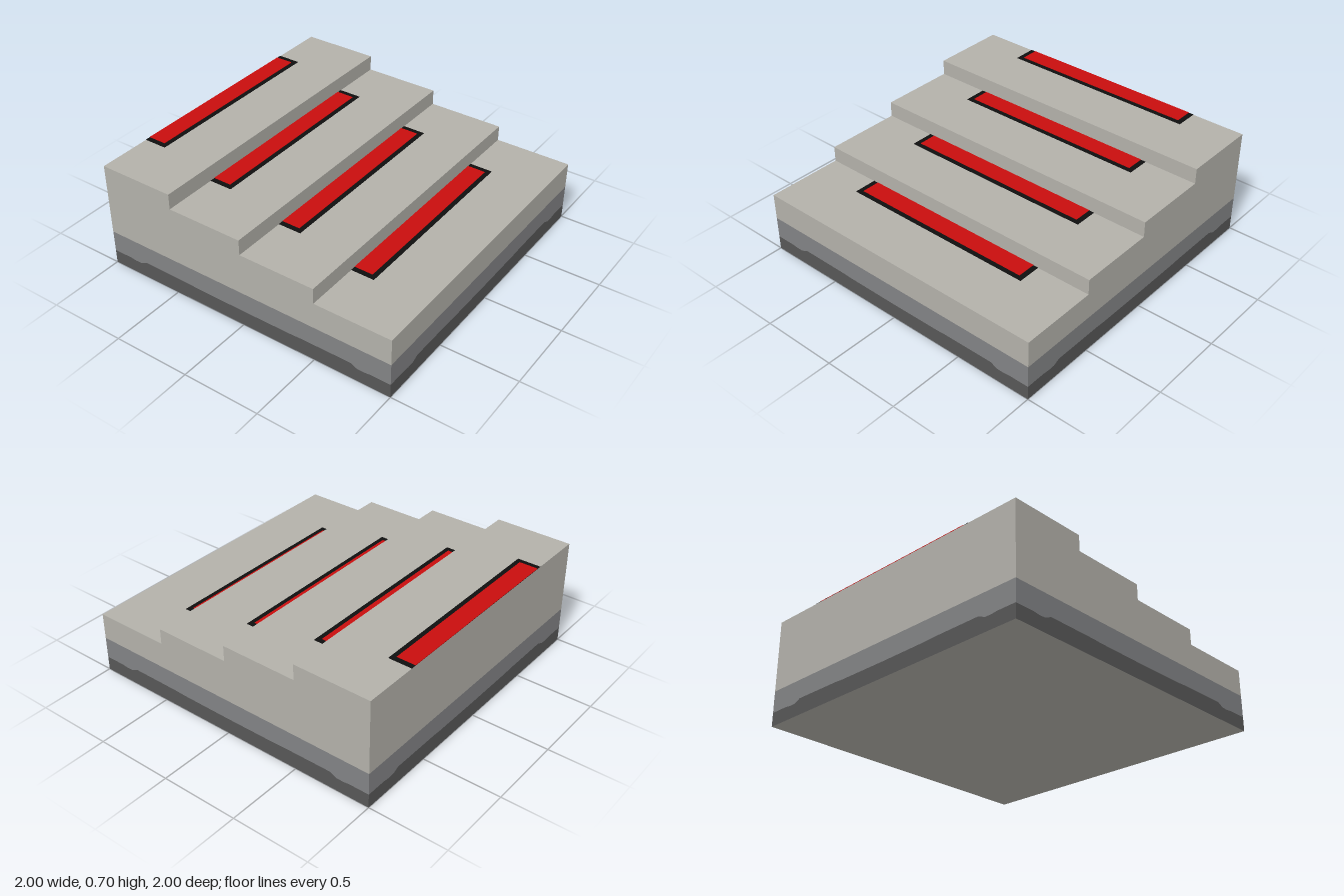
import * as THREE from 'three';

const mat = (name, color) => {
  const m = new THREE.MeshStandardMaterial({ color });
  m.name = name;
  return m;
};

export function createModel() {
  const stone = mat('stone', 0xb3b1aa);
  const midGrey = mat('mid grey', 0x828385);
  const darkGrey = mat('dark grey', 0x575757);
  const black = mat('black', 0x0f0f0f);
  const red = mat('red', 0xc80d0d);

  const model = new THREE.Group();
  model.name = 'steppedBlock';
  const add = (name, geometry, material, parent = model) => {
    const mesh = new THREE.Mesh(geometry, material);
    mesh.name = name;
    parent.add(mesh);
    return mesh;
  };

  const bandTop = 0.23, stepCount = 4, stepDepth = 0.5;
  const stepY = (i) => 0.4 + i * 0.1;

  // Stone staircase: side profile extruded across the width
  const profile = [[-1, bandTop], [1, bandTop]];
  for (let i = 0; i < stepCount; i++) {
    const front = 1 - i * stepDepth;
    profile.push([front, stepY(i)], [front - stepDepth, stepY(i)]);
  }
  const stairShape = new THREE.Shape(profile.map(([z, y]) => new THREE.Vector2(-z, y)));
  const stairs = new THREE.ExtrudeGeometry(stairShape, { depth: 2, bevelEnabled: false });
  stairs.translate(0, 0, -1).rotateY(Math.PI / 2);
  add('stairs', stairs, stone);

  // Underside
  add('underside', new THREE.PlaneGeometry(2, 2).rotateX(Math.PI / 2), stone);

  // Painted wall bands meeting along a slightly wavy, mirrored line
  const half = [[0, 0.1], [0.35, 0.102], [0.4, 0.105], [0.74, 0.107], [0.785, 0.086], [0.83, 0.085], [0.87, 0.09], [1, 0.09]];
  const wave = [...half.slice(1).reverse().map(([x, y]) => [-x, y]), ...half]
    .map(([x, y]) => new THREE.Vector2(x, y));
  const edge = (y) => [new THREE.Vector2(1, y), new THREE.Vector2(-1, y)];
  const lower = new THREE.Shape([...wave, ...edge(0)]);
  const upper = new THREE.Shape([...wave, ...edge(bandTop)]);
  ['front', 'left', 'back', 'right'].forEach((side, i) => {
    const wall = new THREE.Group();
    wall.name = side + 'Wall';
    wall.rotation.y = i * Math.PI / 2;
    add('lowerBand', new THREE.ShapeGeometry(lower).translate(0, 0, 1), darkGrey, wall);
    add('upperBand', new THREE.ShapeGeometry(upper).translate(0, 0, 1), midGrey, wall);
    model.add(wall);
  });

  // Red inlay with a black border at the back of each tread
  const plate = (name, width, depth, height, material, i) => {
    const mesh = add(name + (i + 1), new THREE.BoxGeometry(width, height, depth), material);
    mesh.position.set(0, stepY(i) + height / 2, 1 - (i + 1) * stepDepth + depth / 2);
  };
  for (let i = 0; i < stepCount; i++) {
    plate('inlayBorder', 1.3, 0.15, 0.002, black, i);
    plate('inlay', 1.235, 0.12, 0.004, red, i);
  }

  return model;
}
